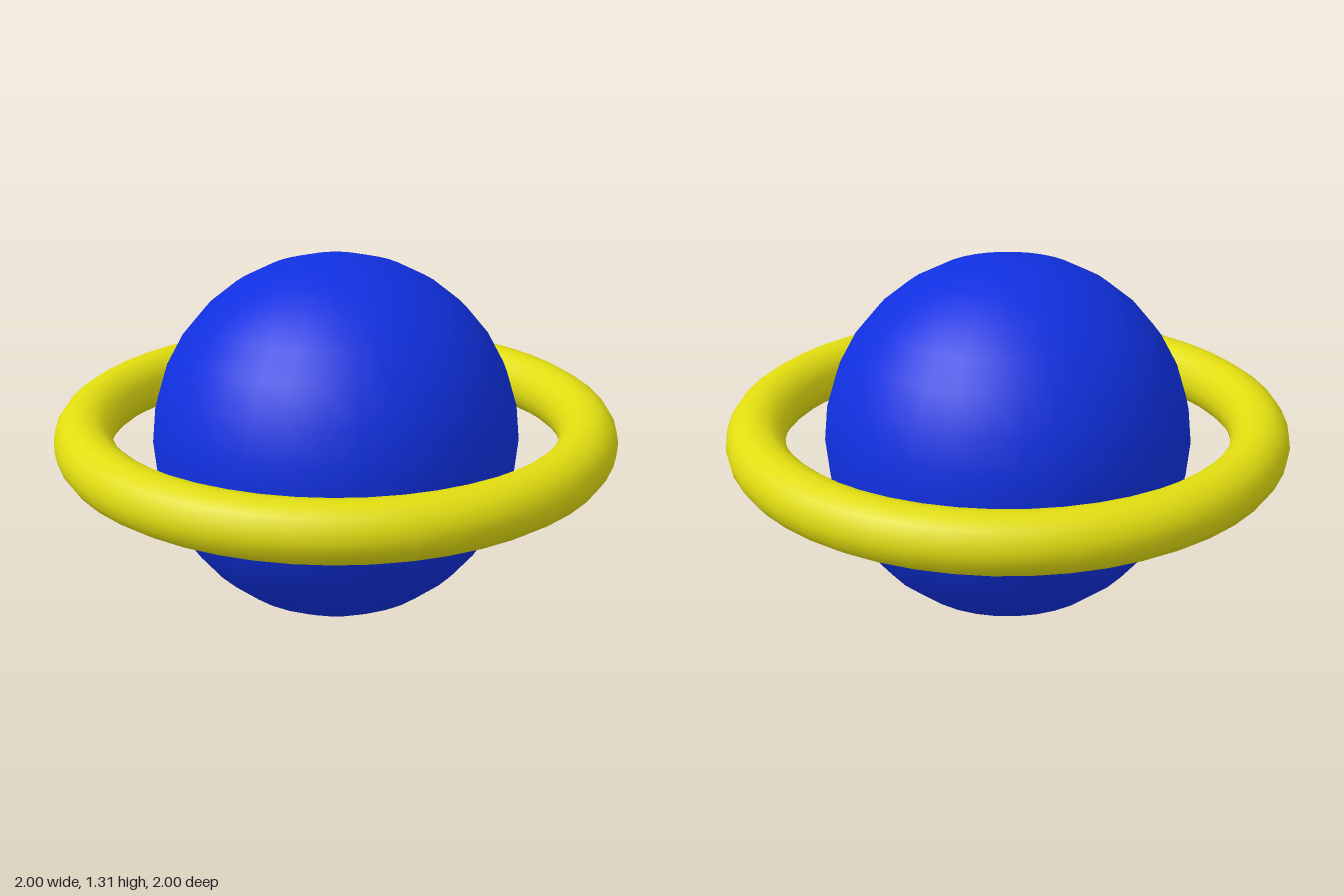
import * as THREE from 'three';

export function createModel() {
  const model = new THREE.Group();
  model.name = 'ringedPlanet';

  const addPart = (name, geometry, color, y) => {
    const mesh = new THREE.Mesh(geometry, new THREE.MeshStandardMaterial({ color }));
    mesh.name = name;
    mesh.position.y = y;
    model.add(mesh);
  };

  // Planet ball, resting on the ground
  addPart('planet', new THREE.SphereGeometry(0.653, 32, 16), 0x1030e0, 0.653);

  // Round ring lying flat, slightly above the planet's middle
  const ring = new THREE.TorusGeometry(0.896, 0.104, 16, 48).rotateX(-Math.PI / 2);
  addPart('ring', ring, 0xe0dc10, 0.675);

  return model;
}
